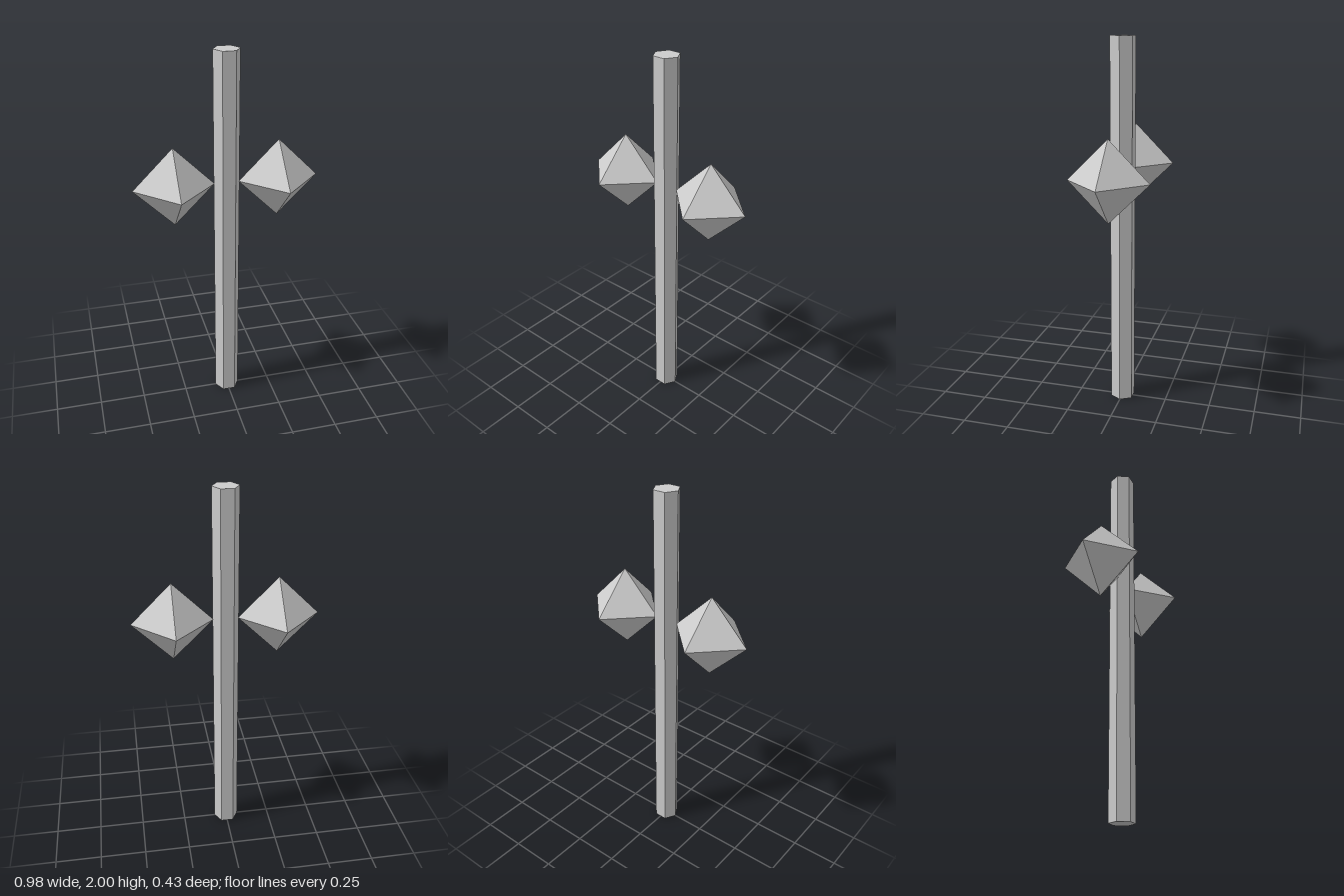
import * as THREE from 'three';

export function createModel() {
  const model = new THREE.Group();
  model.name = 'postWithLanterns';

  const paleGrey = new THREE.MeshStandardMaterial({ color: 0xcccccc, flatShading: true });
  paleGrey.name = 'paleGrey';

  const add = (name, geometry, x, y) => {
    const mesh = new THREE.Mesh(geometry, paleGrey);
    mesh.name = name;
    mesh.position.set(x, y, 0);
    model.add(mesh);
  };

  // Hexagonal post with corners pointing sideways
  const postGeometry = new THREE.CylinderGeometry(0.068, 0.068, 2, 6);
  postGeometry.rotateY(Math.PI / 2);
  add('post', postGeometry, 0, 1);

  // Octahedral lanterns touching the post on both sides
  const lanternGeometry = new THREE.OctahedronGeometry(0.213);
  for (const [name, side] of [['leftLantern', 1], ['rightLantern', -1]]) {
    add(name, lanternGeometry, side * 0.277, 1.311);
  }

  return model;
}
